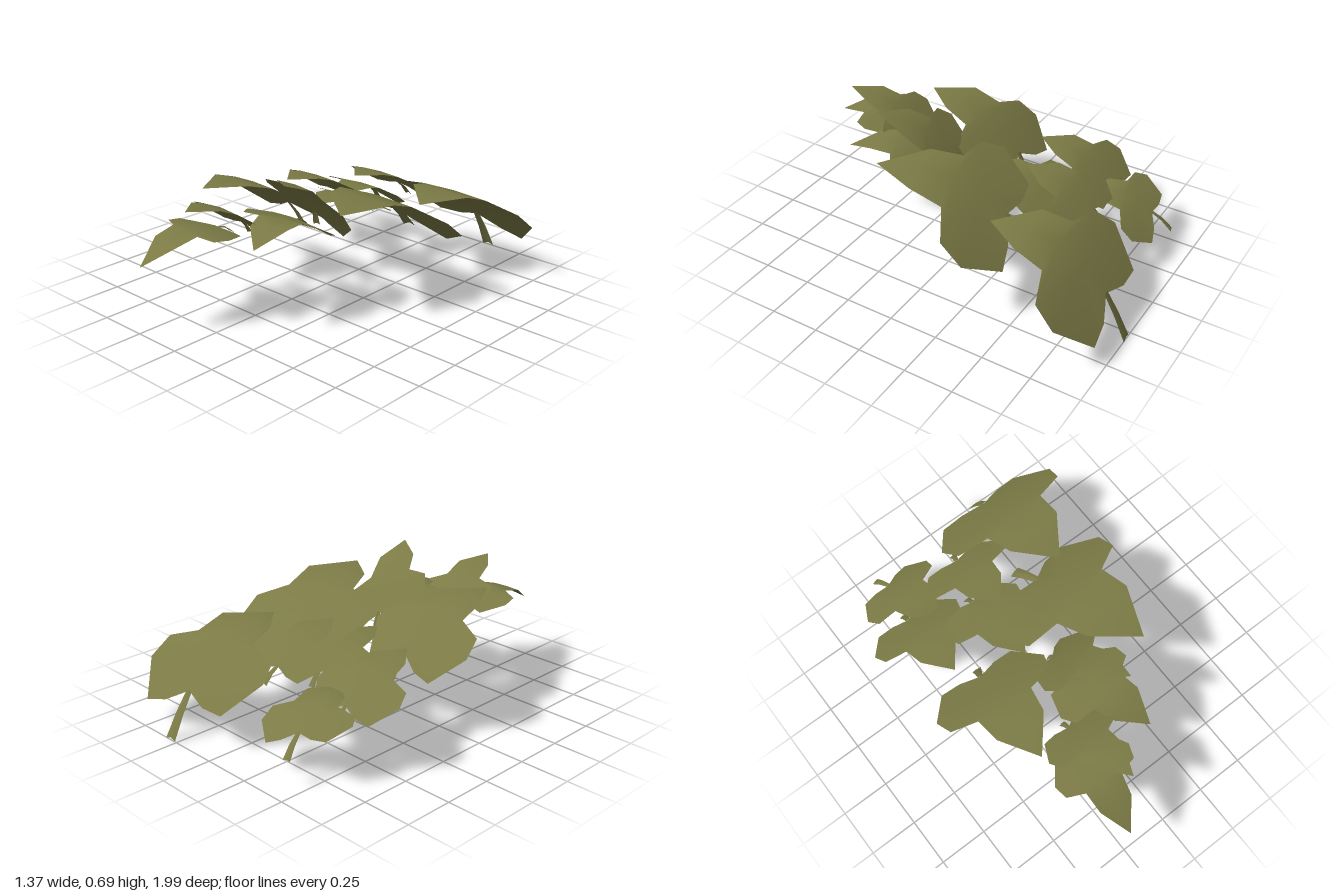
import * as THREE from 'three';

// One row per leaf: base of blade, middle of midrib, tip, half width, end of stem
const LEAVES = [
  ['backRightLeaf', [0.29, 0.22, -0.88], [0.32, 0.44, -0.59], [0.35, 0.44, -0.3], 0.385, [0.295, 0.005, -1]],
  ['middleRightLeaf', [0.2, 0.38, -0.3], [0.29, 0.56, 0], [0.38, 0.56, 0.315], 0.395, [0.17, 0.245, -0.45]],
  ['middleLeftLeaf', [-0.33, 0.35, -0.065], [-0.35, 0.535, 0.21], [-0.37, 0.555, 0.485], 0.31, [-0.3, 0.205, -0.15]],
  ['backLeftLeaf', [-0.39, 0.22, -0.8], [-0.34, 0.31, -0.63], [-0.29, 0.3, -0.46], 0.235, [-0.42, 0.13, -0.9]],
  ['outerLeftLeaf', [-0.43, 0.28, -0.555], [-0.425, 0.41, -0.35], [-0.42, 0.43, -0.145], 0.255, [-0.42, 0.15, -0.64]],
  ['backCentreLeaf', [-0.06, 0.38, -0.63], [-0.055, 0.49, -0.45], [-0.05, 0.51, -0.265], 0.245, [-0.04, 0.3, -0.7]],
  ['lowCentreLeaf', [-0.12, 0.32, -0.42], [-0.105, 0.41, -0.21], [-0.09, 0.41, -0.01], 0.23, [-0.12, 0.24, -0.48]],
  ['topCentreLeaf', [0, 0.43, 0.09], [0.08, 0.615, 0.27], [0.17, 0.69, 0.46], 0.215, [-0.01, 0.345, 0.06]],
  ['lowFrontLeaf', [0.03, 0.43, 0.23], [0.095, 0.5, 0.44], [0.16, 0.43, 0.65], 0.235, [0, 0.36, 0.14]],
  ['upperFrontLeaf', [-0.16, 0.42, 0.42], [-0.13, 0.56, 0.61], [-0.1, 0.595, 0.82], 0.205, [-0.16, 0.35, 0.37]],
  ['frontTipLeaf', [-0.18, 0.43, 0.56], [-0.205, 0.455, 0.775], [-0.23, 0.34, 0.99], 0.205, [-0.17, 0.385, 0.48]],
];

// Half outline as [sideways share of half width, share of midrib length]
const OUTLINE = [[0.33, -0.07], [0.66, -0.08], [1, 0.18], [0.91, 0.35], [0.48, 0.42], [0.42, 0.67]];
const MIDRIB = [0, 0.2, 0.42, 0.66, 1];
// Faces of one half: 0-4 are midrib points, 5-10 outline points
const FACES = [[0, 1, 5], [5, 1, 6], [6, 1, 7], [7, 1, 8], [8, 1, 2], [8, 2, 9], [9, 2, 3], [9, 3, 10], [10, 3, 4]];

function makeGeometry(points, index) {
  const g = new THREE.BufferGeometry().setFromPoints(points);
  g.setIndex(index);
  g.computeVertexNormals();
  return g;
}

export function createModel() {
  const green = new THREE.MeshStandardMaterial({ color: 0x7c7b46, side: THREE.DoubleSide });
  green.name = 'olive green';
  const model = new THREE.Group();
  model.name = 'leafCluster';

  for (const [name, b, m, t, half, s] of LEAVES) {
    const [base, mid, tip, stemEnd] = [b, m, t, s].map(p => new THREE.Vector3(...p));
    const side = new THREE.Vector3(tip.z - base.z, 0, base.x - tip.x).normalize();

    // Parabola through base, middle and tip
    const rib = k => new THREE.Vector3()
      .addScaledVector(base, (1 - k) * (1 - 2 * k))
      .addScaledVector(mid, 4 * k * (1 - k))
      .addScaledVector(tip, k * (2 * k - 1));

    // Edge point: the blade bends front to back only, with lobes drooping a little
    const edge = (u, k) => {
      const p = rib(k).addScaledVector(side, u * half);
      p.y = rib((p.z - base.z) / (tip.z - base.z)).y - 0.08 * half * u * u;
      return p;
    };

    // Lobed blade, mirrored about the midrib
    const points = MIDRIB.map(rib);
    for (const sign of [1, -1]) {
      for (const [u, k] of OUTLINE) points.push(edge(sign * u, k));
    }
    const index = [];
    for (const [p, q, r] of FACES) {
      index.push(p, q, r);
      const [a, c, d] = [p, q, r].map(i => (i > 4 ? i + 6 : i));
      index.push(a, d, c);
    }
    const blade = new THREE.Mesh(makeGeometry(points, index), green);
    blade.name = 'blade';

    // Creased stem ribbon, widening toward its end
    const stemPoints = [], stemIndex = [];
    for (let i = 0; i < 3; i++) {
      const k = i / 2;
      const centre = base.clone().lerp(stemEnd, k);
      centre.y += 0.04 * k * (1 - k);
      const w = half * (0.045 + 0.035 * k);
      for (const e of [-1, 0, 1]) {
        const p = centre.clone().addScaledVector(side, e * w);
        if (e === 0) p.y += w * 0.4;
        stemPoints.push(p);
      }
      if (i < 2) {
        for (const j of [i * 3, i * 3 + 1]) stemIndex.push(j, j + 1, j + 3, j + 1, j + 4, j + 3);
      }
    }
    const stem = new THREE.Mesh(makeGeometry(stemPoints, stemIndex), green);
    stem.name = 'stem';

    const leaf = new THREE.Group();
    leaf.name = name;
    leaf.add(blade, stem);
    model.add(leaf);
  }
  return model;
}
